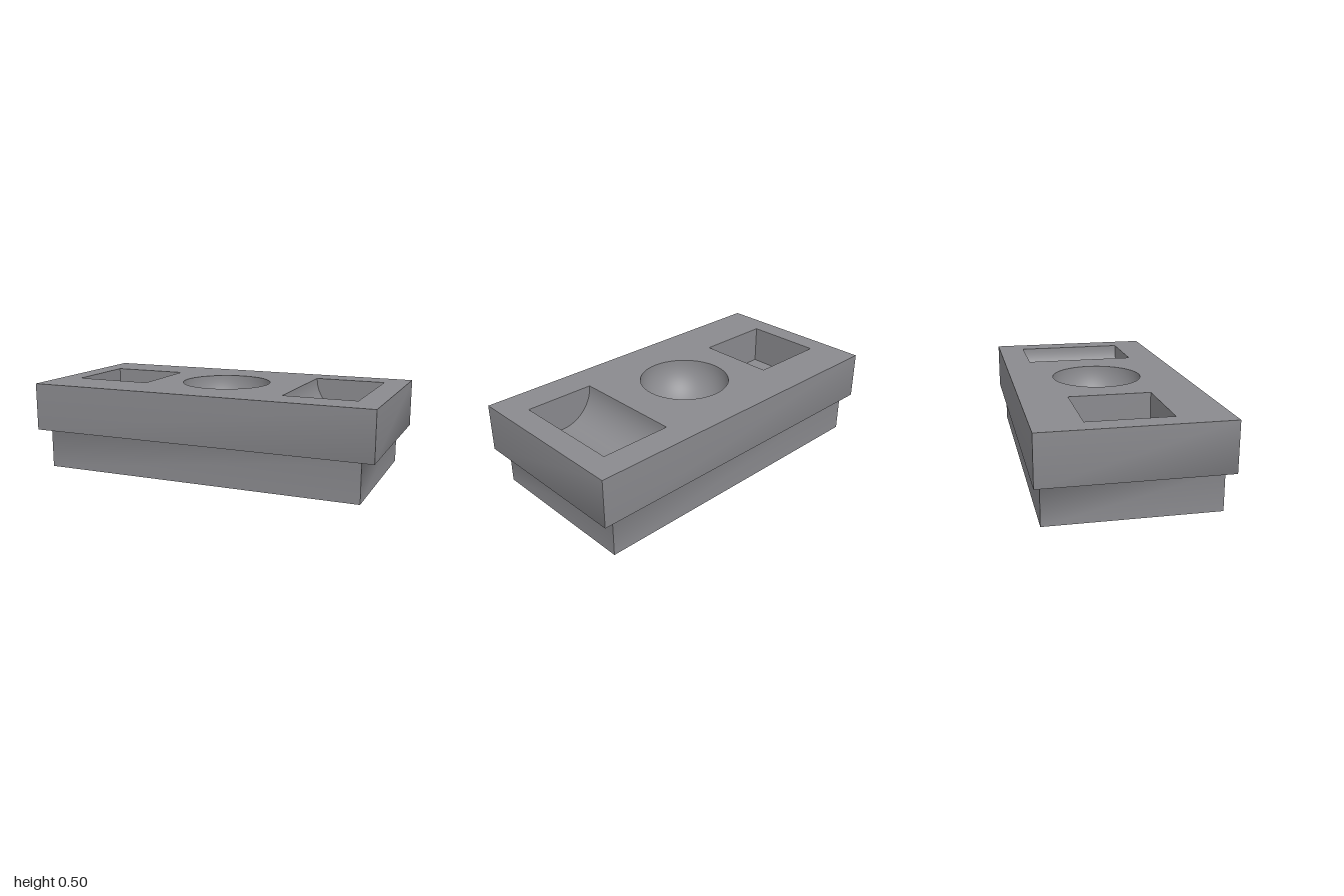
import * as THREE from 'three';

const TOP = 0.5;

// Smooth surface through rows of [x, y, z] points; front side has rows running down, columns running right.
function strip(rows) {
  const n = rows[0].length, index = [];
  for (let i = 0; i < rows.length - 1; i++) {
    for (let j = 0; j < n - 1; j++) {
      const a = i * n + j, b = a + n;
      index.push(a, b, a + 1, b, b + 1, a + 1);
    }
  }
  const g = new THREE.BufferGeometry();
  g.setAttribute('position', new THREE.Float32BufferAttribute(rows.flat(2), 3));
  g.setIndex(index);
  g.computeVertexNormals();
  return g;
}

// Four walls following a profile of [halfX, halfZ, y]; top to bottom faces out, bottom to top faces in.
function walls(profile, cx = 0, cz = 0) {
  const corners = [[-1, 1], [1, 1], [1, -1], [-1, -1]];
  return corners.map((c, k) => strip(profile.map(([hx, hz, y]) =>
    [c, corners[(k + 1) % 4]].map(([sx, sz]) => [cx + sx * hx, y, cz + sz * hz]))));
}

function rectPath(PathType, x0, x1, z0, z1) {
  const p = new PathType();
  p.moveTo(x0, -z1).lineTo(x1, -z1).lineTo(x1, -z0).lineTo(x0, -z0).closePath();
  return p;
}

export function createModel() {
  const group = new THREE.Group();
  const grey = new THREE.MeshStandardMaterial({ color: 0x8a8a8e });
  grey.name = 'grey';
  const add = (name, geometry, parent = group) => {
    const m = new THREE.Mesh(geometry, grey);
    m.name = name;
    parent.add(m);
    return m;
  };
  const subgroup = (name) => {
    const g = new THREE.Group();
    g.name = name;
    group.add(g);
    return g;
  };

  const square = { x: -0.652, z: -0.013, half: 0.2275 };
  const bowlRadius = 0.257;
  const trough = { x: 0.66, r: 0.205, z0: -0.342, z1: 0.31 };

  // Outer sides: wide upper slab, sloped underside lip, narrower base
  const body = subgroup('bodySides');
  walls([[1, 0.5, TOP], [1, 0.5, 0.225], [0.928, 0.464, 0.215], [0.928, 0.464, 0]])
    .forEach((g) => add('bodySide', g, body));
  add('baseUnderside', new THREE.PlaneGeometry(1.856, 0.928).rotateX(Math.PI / 2));

  // Top face with three openings
  const top = rectPath(THREE.Shape, -1, 1, -0.5, 0.5);
  const { x, z, half } = square;
  const round = new THREE.Path();
  round.absarc(0, 0, bowlRadius, 0, Math.PI * 2, true);
  top.holes.push(
    rectPath(THREE.Path, x - half, x + half, z - half, z + half),
    round,
    rectPath(THREE.Path, trough.x - trough.r, trough.x + trough.r, trough.z0, trough.z1));
  add('topFace', new THREE.ShapeGeometry(top, 32).rotateX(-Math.PI / 2).translate(0, TOP, 0));

  // Square pocket
  const pocket = subgroup('squarePocket');
  walls([[half, half, TOP - half], [half, half, TOP]], x, z)
    .forEach((g) => add('pocketWall', g, pocket));
  add('pocketFloor', new THREE.PlaneGeometry(half * 2, half * 2)
    .rotateX(-Math.PI / 2).translate(x, TOP - half, z), pocket);

  // Hemispherical bowl, profile from rim down to centre so it faces inward
  const profile = [];
  for (let i = 0; i <= 20; i++) {
    const a = (i / 20) * Math.PI / 2;
    profile.push(new THREE.Vector2(i === 20 ? 0 : bowlRadius * Math.cos(a), TOP - bowlRadius * Math.sin(a)));
  }
  add('roundBowl', new THREE.LatheGeometry(profile, 64));

  // Half-cylinder trough with flat ends
  const channel = subgroup('cylinderTrough');
  const arc = (zz) => Array.from({ length: 33 }, (_, i) => {
    const a = Math.PI * (1 + i / 32);
    return [trough.x + trough.r * Math.cos(a), TOP + trough.r * Math.sin(a), zz];
  });
  add('troughSurface', strip([arc(trough.z0), arc(trough.z1)]), channel);
  for (const [zz, turn] of [[trough.z0, 0], [trough.z1, Math.PI]]) {
    add('troughEnd', new THREE.CircleGeometry(trough.r, 32, Math.PI, Math.PI)
      .rotateY(turn).translate(trough.x, TOP, zz), channel);
  }

  return group;
}
